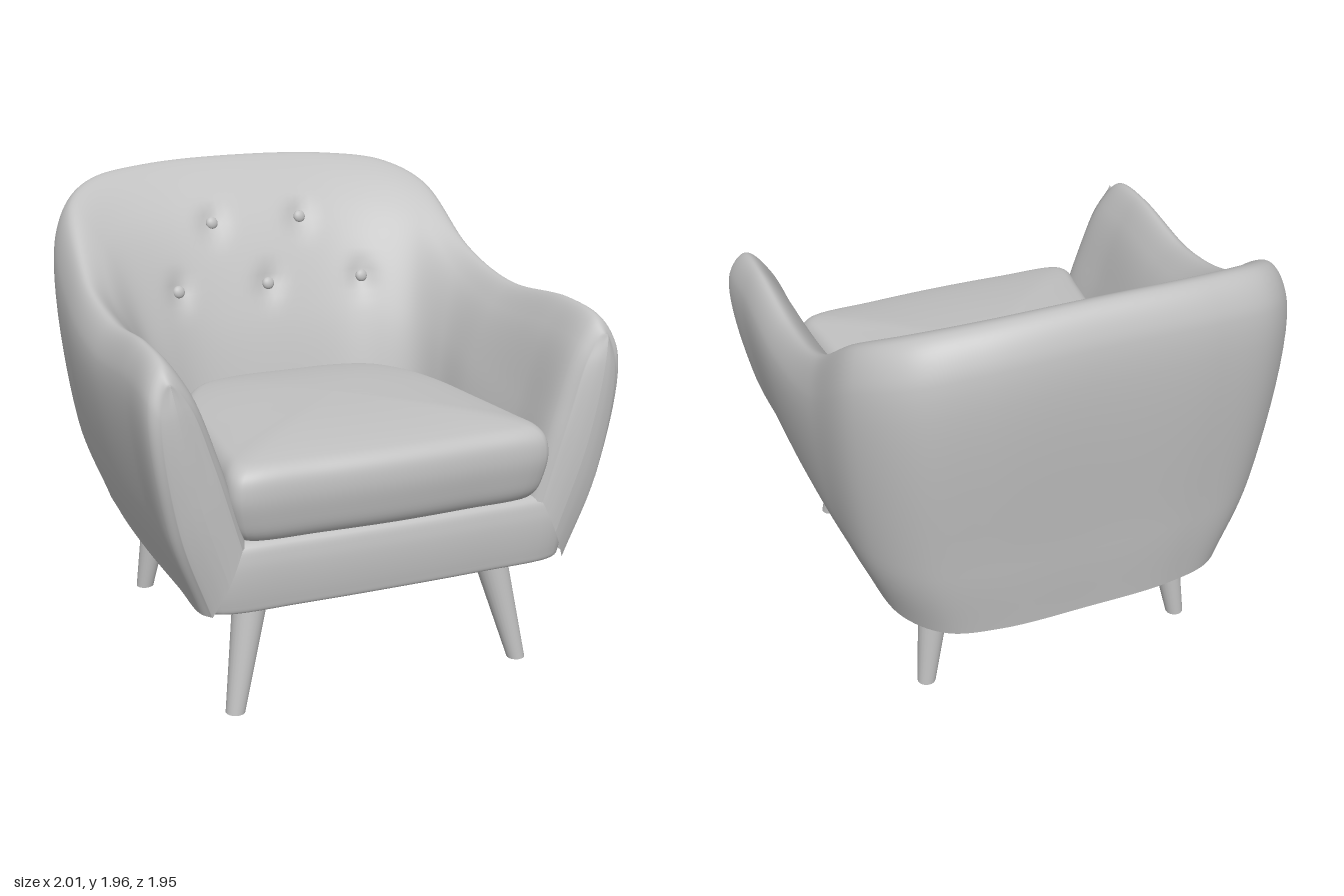
import * as THREE from 'three';

const V = (x, y, z) => new THREE.Vector3(x, y, z);

// Smooth surface through rows of points (all rows equally long)
function surface(rows) {
  const n = rows[0].length, idx = [];
  for (let u = 0; u < rows.length - 1; u++) {
    for (let v = 0; v < n - 1; v++) {
      const a = u * n + v, b = a + n;
      idx.push(a, a + 1, b, b, a + 1, b + 1);
    }
  }
  const g = new THREE.BufferGeometry().setFromPoints(rows.flat());
  g.setIndex(idx);
  g.computeVertexNormals();
  return g;
}

// Plan outline (half, back to front) stacked along a profile of [scale, y]
function stack(half, profile, cz) {
  const right = half.map(([x, z]) => V(x, 0, z));
  const left = half.slice(1, -1).reverse().map(([x, z]) => V(-x, 0, z));
  const outline = new THREE.CatmullRomCurve3([...right, ...left], true).getPoints(120);
  const prof = new THREE.CatmullRomCurve3(profile.map(([s, y]) => V(s, y, 0))).getPoints(48);
  return surface(outline.map(p => prof.map(q =>
    V(p.x * q.x, q.y, cz + (p.z - cz) * q.x))));
}

// Bottom edge in plan [x, z], from the back centre round to the arm front
const bottomEdge = [[0, -.87], [.38, -.86], [.6, -.8], [.735, -.63], [.78, -.3],
  [.8, .15], [.8, .6], [.8, .86], [.77, .91]];

// Guide lines of the shell, with the same stations as the bottom edge
function guideLines() {
  const bottom = bottomEdge.map(([x, z]) => V(x, .485, z));
  const crest = [V(0, 1.955, -.87), V(.45, 1.94, -.85), V(.72, 1.9, -.78),
    V(.865, 1.81, -.62), V(.91, 1.57, -.25), V(.91, 1.485, .15), V(.92, 1.515, .6),
    V(.92, 1.49, .83), V(.92, 1.43, .91)];
  const inner = [V(0, 1.3, -.41), V(.36, 1.3, -.39), V(.52, 1.3, -.33),
    V(.64, 1.25, -.22), V(.69, 1.2, -.05), V(.7, 1.15, .2), V(.72, 1.1, .6),
    V(.72, 1.1, .87), V(.76, 1.1, .935)];
  // the outside flares from the bottom edge, the inside falls from the crest
  const flare = (p, y, sx, sBack) => V(p.x * sx, y, p.z * (p.z < 0 ? sBack : 1.03));
  const low = bottom.map(p => flare(p, .85, 1.165, 1.045));
  const high = bottom.map((p, i) => flare(p, crest[i].y - .13, 1.243, 1.11));
  const shoulder = crest.map((c, i) => {
    const p = c.clone().lerp(inner[i], .47);
    p.y = THREE.MathUtils.lerp(c.y, inner[i].y, .28);
    return p;
  });
  const hidden = inner.map(p => V(p.x * .86, .75, THREE.MathUtils.lerp(p.z, .93, .12)));
  return [bottom, low, high, crest, shoulder, inner, hidden];
}

const buttonSpots = [[-.21, 1.69], [.22, 1.69], [-.43, 1.425], [.01, 1.42], [.46, 1.425]];

function shellGeometry() {
  const NU = 192, NV = 64;
  const curves = guideLines().map(line => new THREE.CatmullRomCurve3([
    ...line.slice(1).reverse().map(p => V(-p.x, p.y, p.z)), ...line]));
  const rows = [];
  for (let i = 0; i <= NU; i++) {
    const section = new THREE.CatmullRomCurve3(curves.map(c => c.getPoint(i / NU)));
    rows.push(section.getPoints(NV));
  }
  // button dimples on the inner back
  for (const row of rows) {
    for (let j = NV / 2; j <= NV; j++) {
      const p = row[j];
      if (p.z > -.2) continue;
      let dent = 0;
      for (const [x, y] of buttonSpots) {
        dent += .03 * Math.exp(-((p.x - x) ** 2 + (p.y - y) ** 2) / .003);
      }
      p.z -= dent;
    }
  }
  // rounded arm fronts: the section closes towards its own middle line
  const cap = (row, f) => row.map((p, j) => {
    const mid = p.clone().add(row[NV - j]).multiplyScalar(.5);
    const q = p.clone().lerp(mid, f);
    q.z += .025 * Math.sin(f * Math.PI / 2);
    return q;
  });
  const first = rows[0], last = rows[NU];
  for (const f of [.2, .45, .7, 1]) {
    rows.unshift(cap(first, f));
    rows.push(cap(last, f));
  }
  return surface(rows);
}

export function createModel() {
  const group = new THREE.Group();
  const grey = new THREE.MeshStandardMaterial({ color: 0xc0c0c0, side: THREE.DoubleSide });
  grey.name = 'plain grey';
  const add = (name, geometry) => {
    const mesh = new THREE.Mesh(geometry, grey);
    mesh.name = name;
    group.add(mesh);
    return mesh;
  };

  // arms and backrest in one sweep
  const shell = add('armsAndBackrest', shellGeometry());

  // upholstered base under the cushion
  add('seatBase', stack(
    [...bottomEdge.slice(0, 8), [.74, .92], [.4, .94], [0, .945]],
    [[0, .48], [.6, .48], [.95, .48], [.975, .485], [.985, .52], [.995, .62], [.99, .7],
      [.97, .755], [.9, .775], [.5, .78], [0, .78]], .03));

  // seat cushion
  add('seatCushion', stack(
    [[0, -.3], [.26, -.295], [.43, -.24], [.54, -.1], [.61, .12], [.65, .45], [.68, .75],
      [.69, .89], [.655, .935], [.35, .955], [0, .965]],
    [[0, .74], [.6, .74], [.88, .745], [.95, .79], [.985, .87], [1, .95], [.985, 1.02],
      [.94, 1.06], [.85, 1.08], [.5, 1.11], [0, 1.125]], .3));

  // tufting buttons, set onto the backrest surface
  const ray = new THREE.Raycaster();
  for (const [x, y] of buttonSpots) {
    ray.set(V(x, y, .2), V(0, 0, -1));
    const button = add('button', new THREE.SphereGeometry(.028, 20, 14));
    button.position.set(x, y, ray.intersectObject(shell)[0].point.z + .008);
    button.scale.z = .6;
    button.rotation.x = -.3;
  }

  // tapered splayed legs
  const leg = (name, top, foot) => {
    const dir = top.clone().sub(foot);
    const g = new THREE.CylinderGeometry(.075, .04, dir.length(), 24);
    g.applyQuaternion(new THREE.Quaternion().setFromUnitVectors(V(0, 1, 0), dir.normalize()));
    const mid = top.clone().add(foot).multiplyScalar(.5);
    g.translate(mid.x, mid.y, mid.z);
    // level the foot on the floor
    const p = g.attributes.position;
    for (let i = 0; i < p.count; i++) if (p.getY(i) < .1) p.setY(i, 0);
    add(name, g);
  };
  for (const s of [-1, 1]) {
    const side = s > 0 ? 'Left' : 'Right';
    leg('front' + side + 'Leg', V(s * .53, .5, .7), V(s * .64, 0, .79));
    leg('back' + side + 'Leg', V(s * .53, .5, -.485), V(s * .605, 0, -.535));
  }
  return group;
}
